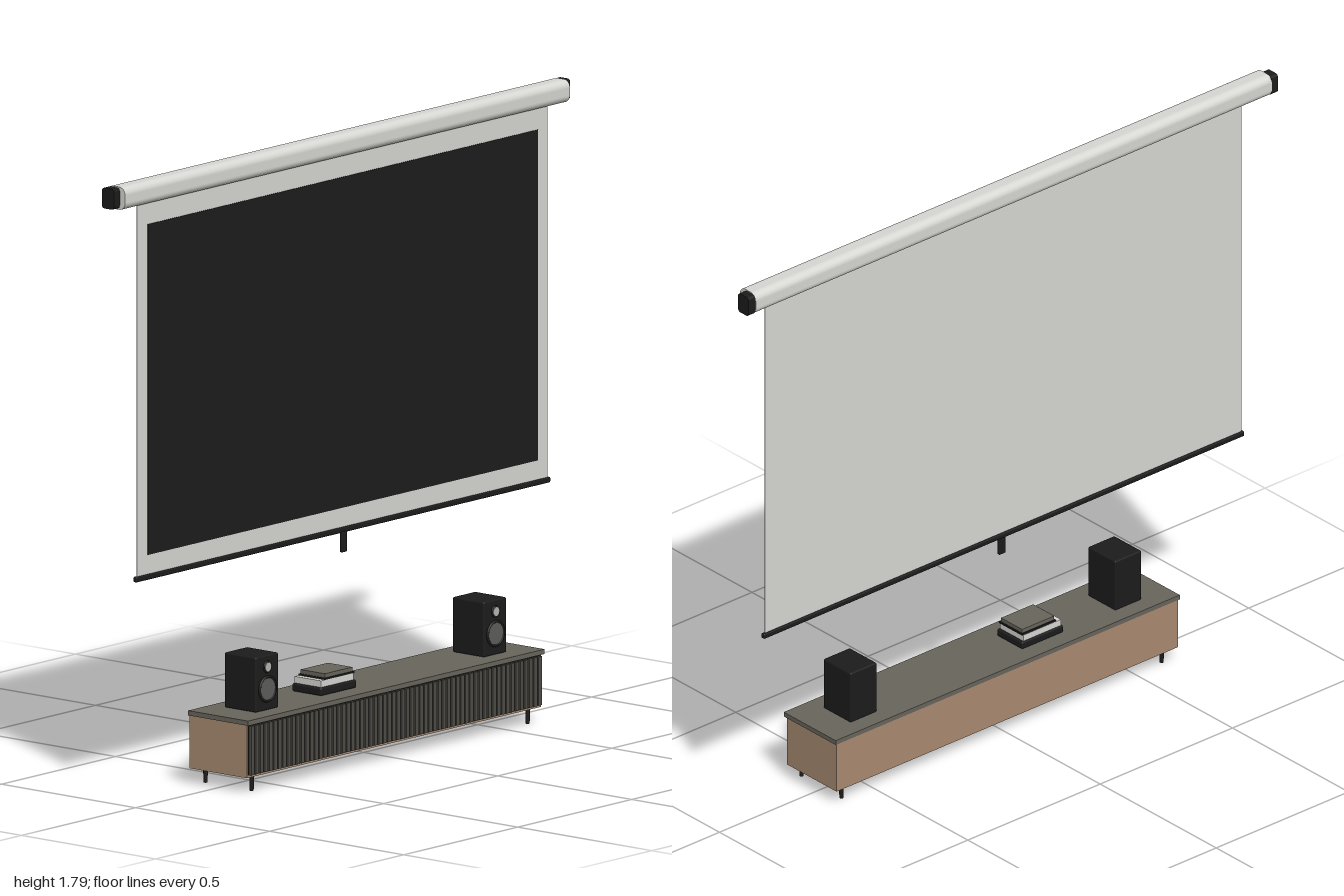
import * as THREE from 'three';
import { RoundedBoxGeometry } from 'three/addons/geometries/RoundedBoxGeometry.js';

const mat = (name, color) => {
  const m = new THREE.MeshStandardMaterial({ color });
  m.name = name;
  return m;
};

export function createModel() {
  const white = mat('screen white', 0xd6d7d2);
  const black = mat('matte black', 0x1c1c1d);
  const taupe = mat('grey taupe', 0x68655c);
  const slatGrey = mat('dark slat', 0x4e4c45);
  const wood = mat('warm wood', 0xa88a70);
  const coneGrey = mat('cone grey', 0x5c5c5a);
  const silver = mat('silver', 0xb4b4b0);

  const root = new THREE.Group();
  const group = (name, parent = root) => {
    const g = new THREE.Group();
    g.name = name;
    parent.add(g);
    return g;
  };
  const add = (parent, name, geometry, material, x, y, z) => {
    const mesh = new THREE.Mesh(geometry, material);
    mesh.name = name;
    mesh.position.set(x, y, z);
    parent.add(mesh);
    return mesh;
  };
  // Box given by its limits on each axis
  const box = (parent, name, material, [x0, x1], [y0, y1], [z0, z1], r = 0) => {
    const s = [x1 - x0, y1 - y0, z1 - z0];
    const geo = r ? new RoundedBoxGeometry(...s, 2, r) : new THREE.BoxGeometry(...s);
    return add(parent, name, geo, material, (x0 + x1) / 2, (y0 + y1) / 2, (z0 + z1) / 2);
  };
  // Bar along x with a rounded rectangular section
  const bar = (length, depth, height, r, segments) => {
    const w = depth / 2, h = height / 2;
    const s = new THREE.Shape();
    s.moveTo(-w + r, -h);
    s.lineTo(w - r, -h);
    s.absarc(w - r, -h + r, r, -Math.PI / 2, 0);
    s.absarc(w - r, h - r, r, 0, Math.PI / 2);
    s.absarc(-w + r, h - r, r, Math.PI / 2, Math.PI);
    s.absarc(-w + r, -h + r, r, Math.PI, Math.PI * 1.5);
    const geo = new THREE.ExtrudeGeometry(s, { depth: length, bevelEnabled: false, curveSegments: segments });
    return geo.translate(0, 0, -length / 2).rotateY(Math.PI / 2);
  };

  // Roll-down screen
  const screen = group('projectionScreen');
  add(screen, 'housing', bar(1.95, 0.068, 0.066, 0.022, 6), white, 0, 1.754, -0.094);
  for (const side of [-1, 1])
    add(screen, 'endCap', bar(0.025, 0.046, 0.06, 0.01, 3), black, side * 0.9875, 1.754, -0.103);
  box(screen, 'fabric', white, [-0.9, 0.9], [0.64, 1.73], [-0.082, -0.079]);
  box(screen, 'imageArea', black, [-0.855, 0.855], [0.7, 1.66], [-0.079, -0.077]);
  box(screen, 'bottomBar', black, [-0.908, 0.908], [0.628, 0.644], [-0.088, -0.074], 0.004);
  box(screen, 'pullHandle', black, [-0.012, 0.012], [0.572, 0.632], [-0.08, -0.07], 0.003);

  // Low media cabinet
  const cabinet = group('mediaCabinet');
  box(cabinet, 'body', wood, [-0.645, 0.645], [0.044, 0.198], [-0.1, 0.113]);
  box(cabinet, 'top', taupe, [-0.65, 0.65], [0.198, 0.212], [-0.102, 0.122]);
  box(cabinet, 'slatBacking', black, [-0.64, 0.64], [0.052, 0.195], [0.113, 0.115]);
  const slatCount = 64, pitch = 1.28 / slatCount;
  const slatGeo = new THREE.BoxGeometry(pitch * 0.72, 0.142, 0.009);
  for (let i = 0; i < slatCount; i++)
    add(cabinet, 'slat', slatGeo, slatGrey, -0.64 + pitch * (i + 0.5), 0.123, 0.1185);
  const legGeo = new THREE.CylinderGeometry(0.007, 0.006, 0.046, 12);
  for (const x of [-0.605, 0.605])
    for (const z of [-0.075, 0.097]) add(cabinet, 'leg', legGeo, black, x, 0.023, z);

  // Pair of bookshelf speakers
  const disc = (r, depth) => new THREE.CylinderGeometry(r, r, depth, 32).rotateX(Math.PI / 2);
  for (const x of [-0.5, 0.5]) {
    const speaker = group('speaker');
    box(speaker, 'speakerCase', black, [x - 0.05, x + 0.05], [0.212, 0.372], [-0.052, 0.066], 0.005);
    add(speaker, 'wooferRim', new THREE.TorusGeometry(0.035, 0.004, 8, 32), black, x, 0.274, 0.067);
    add(speaker, 'wooferCone', disc(0.033, 0.006), coneGrey, x, 0.274, 0.066);
    add(speaker, 'tweeterRim', new THREE.TorusGeometry(0.015, 0.003, 8, 24), black, x, 0.338, 0.066);
    add(speaker, 'tweeterDome', disc(0.013, 0.008), silver, x, 0.338, 0.066);
  }

  // Stack of books
  const books = group('books');
  box(books, 'bottomBook', black, [-0.257, -0.1], [0.212, 0.236], [-0.05, 0.06], 0.006);
  box(books, 'middleBook', white, [-0.25, -0.108], [0.236, 0.255], [-0.046, 0.054]);
  box(books, 'topBookPages', black, [-0.232, -0.104], [0.255, 0.26], [-0.045, 0.054]);
  box(books, 'topBook', taupe, [-0.229, -0.108], [0.26, 0.272], [-0.041, 0.05]);

  return root;
}
